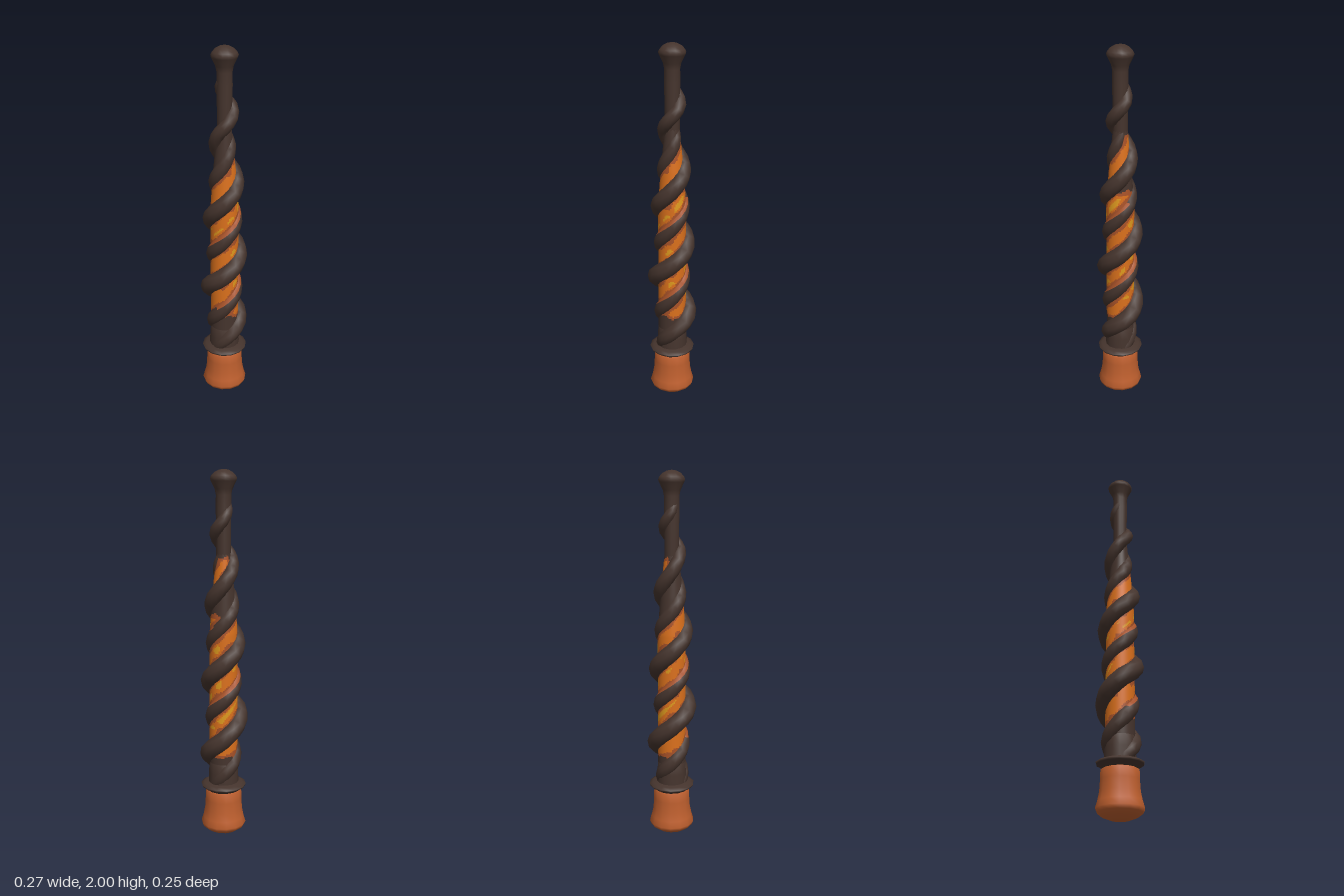
import * as THREE from 'three';

const mat = (name, color) => {
  const m = new THREE.MeshStandardMaterial({ color });
  m.name = name;
  return m;
};

// Linear lookup in rows of [key, value, value, ...]
function lookup(rows, k, column) {
  let i = 0;
  while (i < rows.length - 2 && k > rows[i + 1][0]) i++;
  const a = rows[i], b = rows[i + 1];
  const t = THREE.MathUtils.clamp((k - a[0]) / (b[0] - a[0]), 0, 1);
  return a[column] + (b[column] - a[column]) * t;
}

// Closed rings joined into a smooth skin; pick(row, col) chooses a material slot
function skin(rows, cols, point, pick, slots) {
  const positions = [];
  const faces = Array.from({ length: slots }, () => []);
  for (let i = 0; i <= rows; i++) {
    for (let j = 0; j < cols; j++) positions.push(...point(i / rows, j / cols).toArray());
  }
  for (let i = 0; i < rows; i++) {
    for (let j = 0; j < cols; j++) {
      const a = i * cols + j, b = i * cols + (j + 1) % cols;
      faces[pick((i + 0.5) / rows, (j + 0.5) / cols)].push(a, b, a + cols, b, b + cols, a + cols);
    }
  }
  const g = new THREE.BufferGeometry();
  g.setAttribute('position', new THREE.Float32BufferAttribute(positions, 3));
  g.setIndex(faces.flat());
  let start = 0;
  faces.forEach((f, k) => {
    g.addGroup(start, f.length, k);
    start += f.length;
  });
  g.computeVertexNormals();
  return g;
}

// Height to number of turns of the main strand
const TURNS = [[0.29, -0.5], [0.5, 0], [0.72, 0.5], [0.92, 1], [1.135, 1.5], [1.345, 2],
  [1.56, 2.5], [1.7, 3], [1.84, 3.5]];
const twist = (y) => lookup(TURNS, y, 1) * Math.PI * 2;

// Tapering strand; shape rows are [height, helix radius, strand thickness]
function strand(y0, y1, phase, shape, pick = () => 0, slots = 1) {
  const at = (y) => {
    const a = twist(y) + phase, r = lookup(shape, y, 1);
    return new THREE.Vector3(Math.cos(a) * r, y, -Math.sin(a) * r);
  };
  const rows = Math.round((y1 - y0) * 40);
  return skin(rows, 9, (u, v) => {
    const y = y0 + (y1 - y0) * u;
    const c = at(y);
    const tangent = at(y + 0.012).sub(at(y - 0.012)).normalize();
    const out = new THREE.Vector3(c.x, 0, c.z).normalize();
    out.addScaledVector(tangent, -out.dot(tangent)).normalize();
    const across = new THREE.Vector3().crossVectors(tangent, out);
    const r = lookup(shape, y, 2), p = v * Math.PI * 2;
    return c.addScaledVector(out, r * Math.cos(p)).addScaledVector(across, r * Math.sin(p));
  }, (u, v) => pick(y0 + (y1 - y0) * u, v), slots);
}

const lathe = (points, sides) =>
  new THREE.LatheGeometry(points.map(([r, y]) => new THREE.Vector2(r, y)), sides);

export function createModel() {
  const wood = mat('dark wood', 0x45342d);
  const copper = mat('copper', 0xbe5f2e);
  const ember = mat('ember orange', 0xda701c);
  const gold = mat('ember gold', 0xde991e);
  const rust = mat('ember rust', 0xa85228);

  const group = new THREE.Group();
  group.name = 'twistedWand';
  const add = (name, geometry, material) => {
    const mesh = new THREE.Mesh(geometry, material);
    mesh.name = name;
    group.add(mesh);
  };

  // Flared handle with a shallow domed end
  add('handle', lathe([[0, 0], [0.05, 0.005], [0.09, 0.02], [0.116, 0.04], [0.125, 0.06], [0.114, 0.095],
    [0.105, 0.14], [0.101, 0.2], [0.1, 0.25], [0.085, 0.258]], 14), copper);

  // Collar above the handle
  add('collar', lathe([[0.08, 0.252], [0.094, 0.258], [0.096, 0.268], [0.122, 0.278], [0.125, 0.288],
    [0.106, 0.298], [0.08, 0.304]], 14), wood);

  // Lower trunk, upper rod and rounded tip
  add('trunk', lathe([[0.084, 0.29], [0.082, 0.36], [0.077, 0.42], [0.06, 0.43]], 14), wood);
  add('rodAndTip', lathe([[0.034, 1.5], [0.039, 1.56], [0.039, 1.7], [0.041, 1.8], [0.04, 1.87],
    [0.046, 1.9], [0.066, 1.94], [0.07, 1.953], [0.064, 1.967], [0.048, 1.984], [0.025, 1.996], [0, 2]], 14), wood);

  // Core seen between the strands: its two spiral gaps glow over different heights
  const coreRadius = [[0.42, 0.077], [0.6, 0.077], [1.15, 0.075], [1.35, 0.06], [1.5, 0.045], [1.58, 0.037]];
  const height = (u) => 0.42 + 1.16 * u;
  const core = skin(150, 60, (u, v) => {
    const y = height(u), t = v * Math.PI * 2, r = lookup(coreRadius, y, 1);
    return new THREE.Vector3(Math.sin(t) * r, y, Math.cos(t) * r);
  }, (u, v) => {
    const y = height(u), t = v * Math.PI * 2, gap = Math.sin(t - twist(y) - Math.PI / 2);
    const blotch = Math.sin(y * 37 + 2 * Math.sin(t * 3)) * 0.5 + Math.sin(t * 5 - y * 61) * 0.5;
    const [low, high] = gap < 0 ? [0.5, 1.55] : [0.46, 1.25];
    const inside = Math.min(y - low, high - y) + blotch * 0.012;
    if (inside < 0) return 3;
    if (inside < 0.02 || Math.abs(gap) + blotch * 0.13 < 0.85) return 2;
    return Math.abs(gap) > 0.92 && blotch > 0.4 && y > 0.62 && y < 1.22 ? 1 : 0;
  }, 4);
  add('emberCore', core, [ember, gold, rust, wood]);

  // Thick main strand winding up to the tip
  add('mainStrand', strand(0.29, 1.87, 0, [[0.29, 0.05, 0.035], [0.38, 0.065, 0.043], [0.5, 0.09, 0.049],
    [0.61, 0.079, 0.049], [0.73, 0.09, 0.049], [0.82, 0.077, 0.048], [0.95, 0.077, 0.048], [1.15, 0.07, 0.046],
    [1.35, 0.057, 0.043], [1.56, 0.042, 0.035], [1.7, 0.04, 0.034], [1.8, 0.024, 0.026], [1.87, 0.015, 0.01]]), [wood]);

  // Slimmer strand opposite, with its upper flank glowing
  add('secondStrand', strand(0.29, 1.6, Math.PI, [[0.29, 0.05, 0.035], [0.4, 0.058, 0.042], [0.55, 0.059, 0.042],
    [0.95, 0.059, 0.042], [1.15, 0.054, 0.04], [1.35, 0.042, 0.039], [1.5, 0.027, 0.032],
    [1.6, 0.012, 0.015]], (y, v) => {
    if (y < 0.55 || y > 1.18 || v < 0.6 || v > 0.86) return 0;
    return v > 0.78 ? 2 : 1;
  }, 3), [wood, ember, rust]);

  return group;
}
